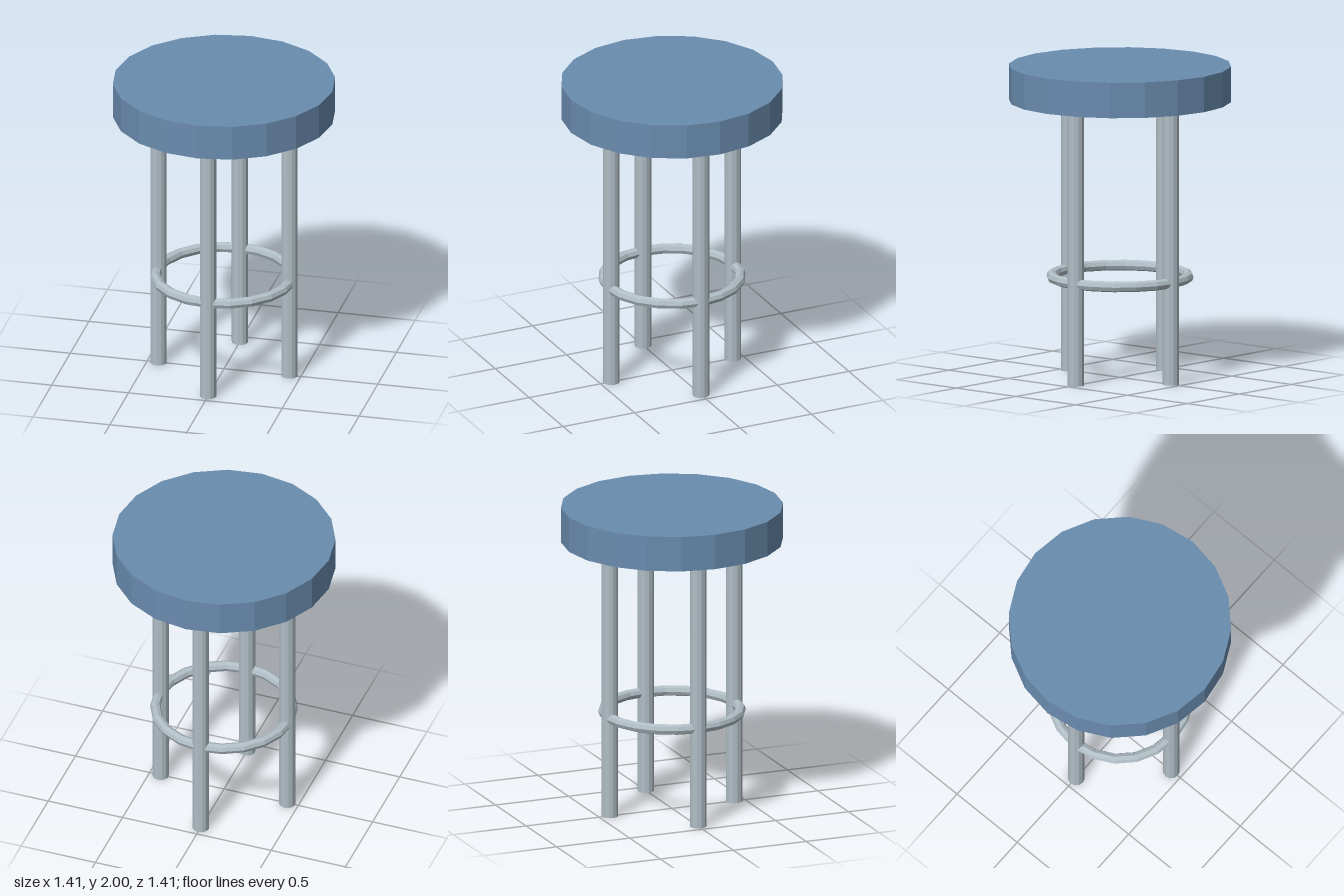
import * as THREE from 'three';

export function createModel() {
  const stool = new THREE.Group();
  stool.name = 'stool';

  const seatMaterial = new THREE.MeshStandardMaterial({ color: 0x6a8caf, flatShading: true });
  const metalMaterial = new THREE.MeshStandardMaterial({ color: 0xb0bec5, flatShading: true });

  function add(name, geometry, material, x, y, z) {
    const mesh = new THREE.Mesh(geometry, material);
    mesh.name = name;
    mesh.position.set(x, y, z);
    stool.add(mesh);
  }

  // Thick round seat, floating just above the legs
  const seatBottom = 1.773, seatHeight = 2 - seatBottom;
  add('seat', new THREE.CylinderGeometry(0.705, 0.705, seatHeight, 20), seatMaterial,
    0, seatBottom + seatHeight / 2, 0);

  // Four straight legs on the x and z axes
  const legHeight = 1.727, legOffset = 0.426;
  const legGeometry = new THREE.CylinderGeometry(0.053, 0.053, legHeight, 12);
  const legs = { frontLeg: [0, 1], backLeg: [0, -1], leftLeg: [1, 0], rightLeg: [-1, 0] };
  for (const [name, [x, z]] of Object.entries(legs)) {
    add(name, legGeometry, metalMaterial, x * legOffset, legHeight / 2, z * legOffset);
  }

  // Foot ring running through the legs
  const ringGeometry = new THREE.TorusGeometry(0.434, 0.034, 8, 20).rotateX(Math.PI / 2);
  add('footRing', ringGeometry, metalMaterial, 0, 0.649, 0);

  return stool;
}
